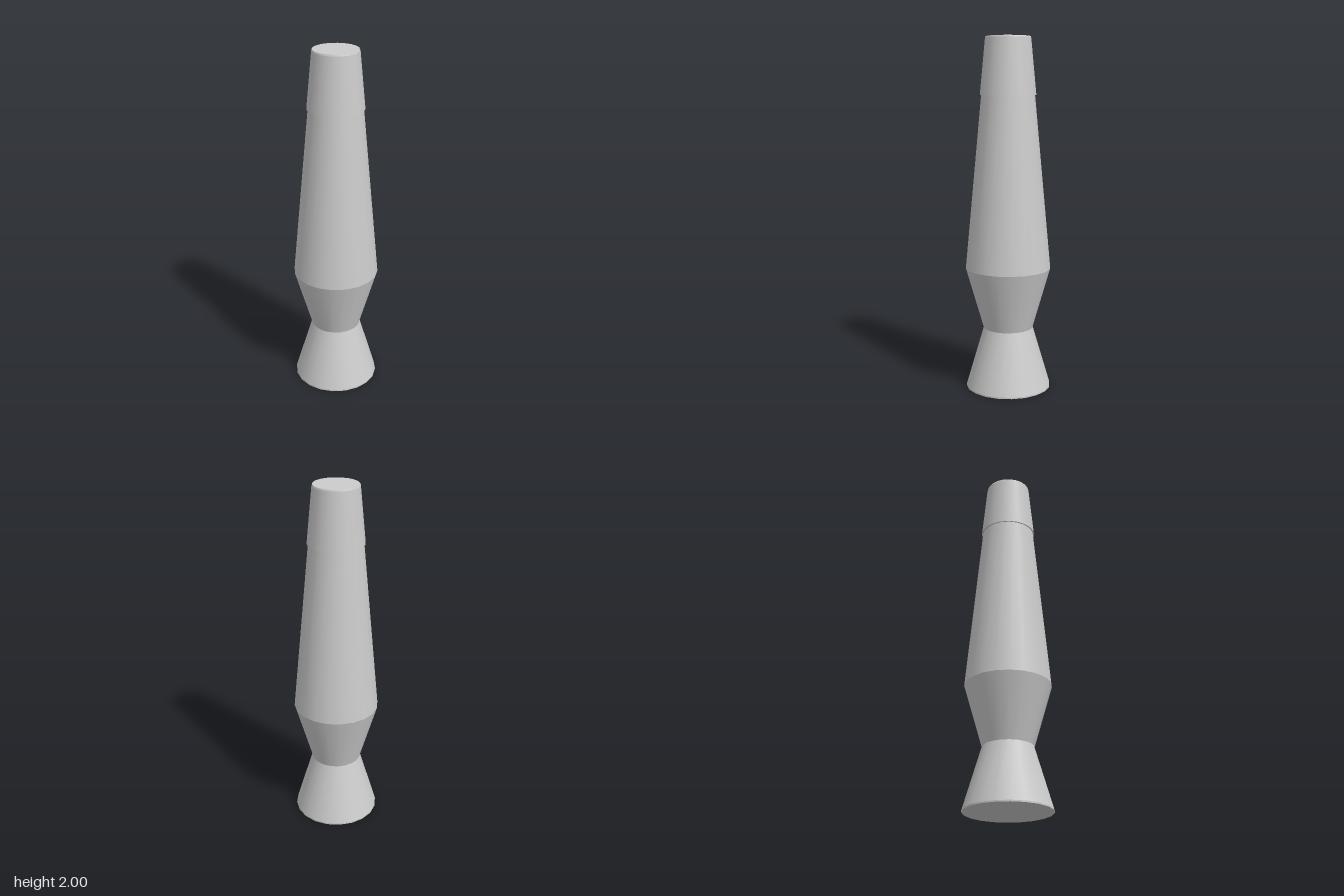
import * as THREE from 'three';

const SIDES = 20;

export function createModel() {
  const lamp = new THREE.Group();
  lamp.name = 'lavaLamp';
  const material = new THREE.MeshStandardMaterial({ color: 0xcccccc });

  // Tapered round section standing between two heights
  const taper = (name, y0, r0, y1, r1, open = true) => {
    const geometry = new THREE.CylinderGeometry(r1, r0, y1 - y0, SIDES, 1, open);
    const mesh = new THREE.Mesh(geometry, material);
    mesh.name = name;
    mesh.position.y = (y0 + y1) / 2;
    lamp.add(mesh);
  };
  // Flat disc or ring, facing up or down
  const disc = (name, y, inner, outer, up) => {
    const geometry = inner > 0
      ? new THREE.RingGeometry(inner, outer, SIDES)
      : new THREE.CircleGeometry(outer, SIDES);
    geometry.rotateX(up ? -Math.PI / 2 : Math.PI / 2);
    const mesh = new THREE.Mesh(geometry, material);
    mesh.name = name;
    mesh.position.y = y;
    lamp.add(mesh);
  };

  // Hourglass base: flared foot and cup, with a thin foot rim
  disc('baseUnderside', 0, 0, 0.243, false);
  taper('footRim', 0, 0.243, 0.008, 0.243);
  taper('foot', 0.008, 0.243, 0.35, 0.142);
  taper('cup', 0.35, 0.142, 0.7, 0.243);

  // Tapered bottle, running up inside the cap
  taper('bottle', 0.7, 0.243, 1.72, 0.147);

  // Cap with a slight overhang and a fine top bevel
  disc('capUnderside', 1.68, 0.14, 0.158, false);
  taper('cap', 1.68, 0.158, 1.992, 0.128);
  taper('capBevel', 1.992, 0.128, 2, 0.125);
  disc('capTop', 2, 0, 0.125, true);

  return lamp;
}
